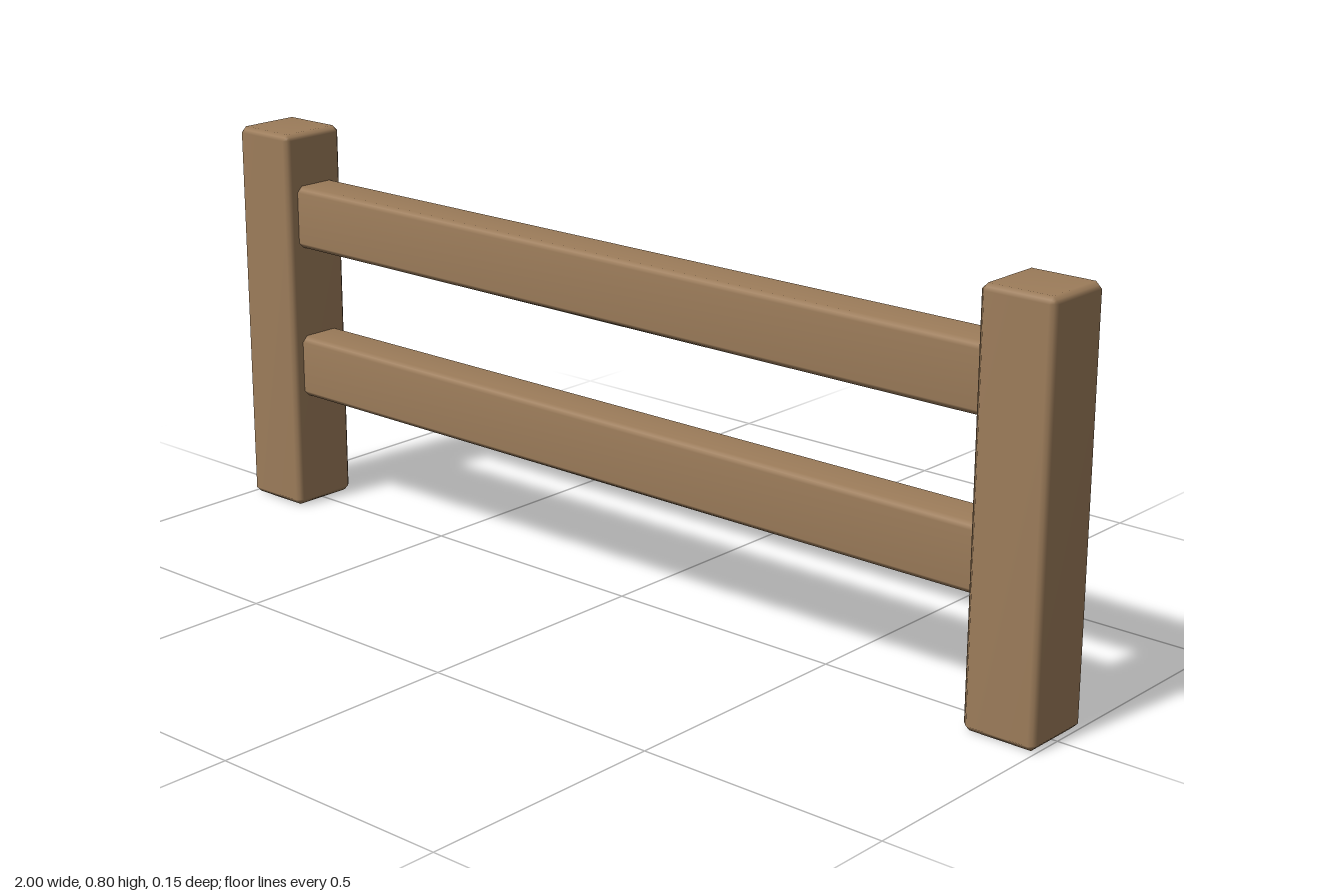
import * as THREE from 'three';
import { mergeVertices } from 'three/addons/utils/BufferGeometryUtils.js';

// Box with a narrow chamfer on every edge and softened normals
function chamferedBox(width, height, depth, chamfer) {
  const box = new THREE.BoxGeometry(1, 1, 1, 3, 3, 3);
  box.deleteAttribute('normal');
  box.deleteAttribute('uv');
  const geometry = mergeVertices(box);
  const position = geometry.attributes.position;
  const half = [width / 2, height / 2, depth / 2];
  for (let i = 0; i < position.count; i++) {
    const p = [position.getX(i), position.getY(i), position.getZ(i)];
    const outer = p.filter((v) => Math.abs(v) > 0.4).length;
    // face points stay, edge points drop by half the chamfer, corners by two thirds
    const drop = chamfer * (1 - 1 / outer);
    const q = p.map((v, k) => Math.sign(v) * (half[k] - (Math.abs(v) > 0.4 ? drop : chamfer)));
    position.setXYZ(i, ...q);
  }
  geometry.computeVertexNormals();
  return geometry;
}

export function createModel() {
  const model = new THREE.Group();
  model.name = 'fence';
  const wood = new THREE.MeshStandardMaterial({ color: 0x9c7c5a });
  wood.name = 'brown wood';

  const add = (name, geometry, x, y) => {
    const mesh = new THREE.Mesh(geometry, wood);
    mesh.name = name;
    mesh.position.set(x, y, 0);
    model.add(mesh);
  };

  // Upright posts
  const post = chamferedBox(0.15, 0.8, 0.15, 0.012);
  add('leftPost', post, 0.925, 0.4);
  add('rightPost', post, -0.925, 0.4);

  // Horizontal rails, let into the posts
  const rail = chamferedBox(1.76, 0.13, 0.1, 0.012);
  add('lowerRail', rail, 0, 0.305);
  add('upperRail', rail, 0, 0.625);

  return model;
}
